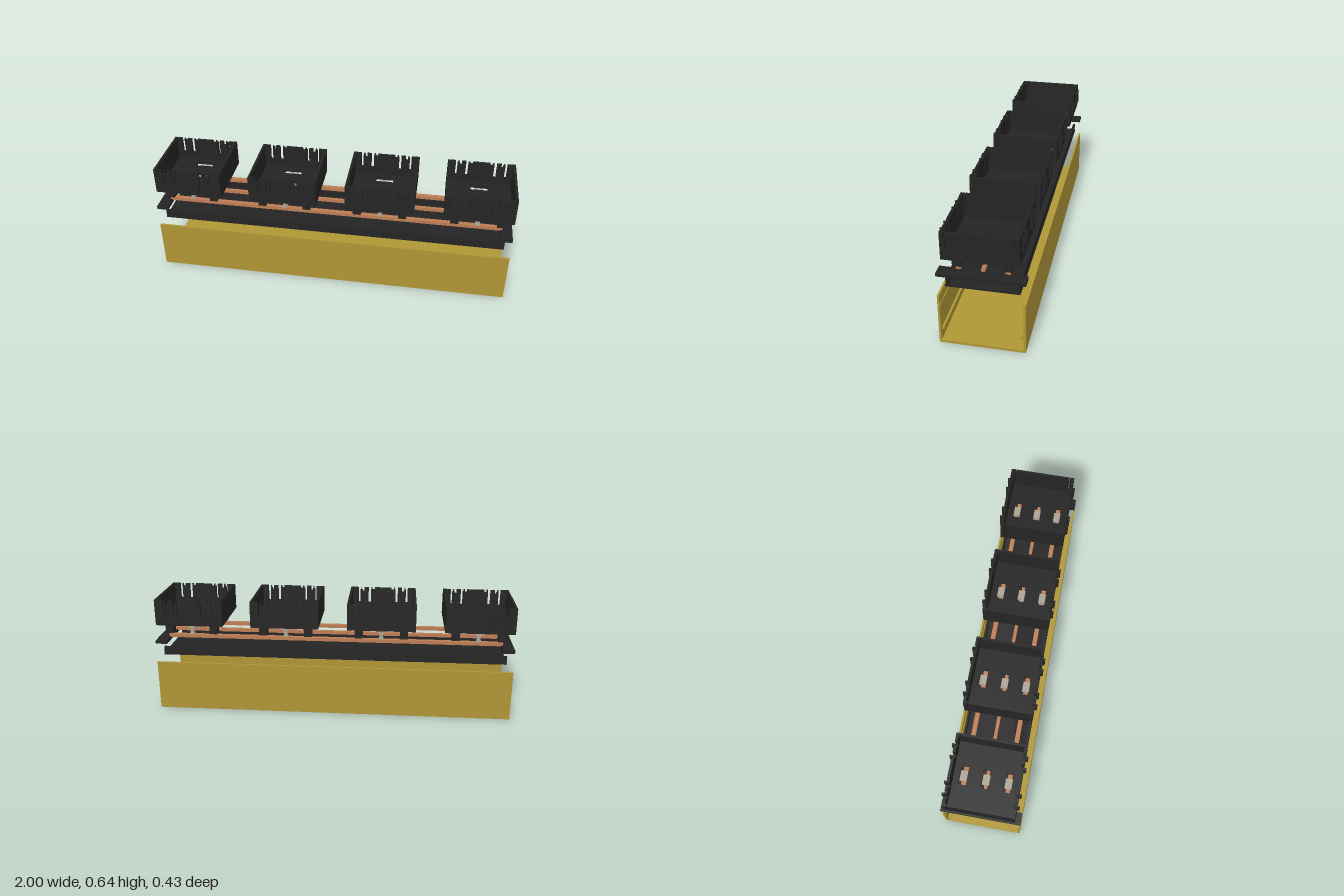
import * as THREE from 'three';

const mat = (name, color) => {
  const m = new THREE.MeshStandardMaterial({ color });
  m.name = name;
  return m;
};

export function createModel() {
  const brass = mat('brass', 0xb09636);
  const black = mat('black plastic', 0x242424);
  const copper = mat('copper', 0xbd7d54);
  const steel = mat('pale metal', 0xaca392);

  const model = new THREE.Group();
  model.name = 'explodedBusbarTrunking';

  // Box given by its extents on each axis
  const box = (parent, name, m, [x0, x1], [y0, y1], [z0, z1]) => {
    const mesh = new THREE.Mesh(new THREE.BoxGeometry(x1 - x0, y1 - y0, z1 - z0), m);
    mesh.position.set((x0 + x1) / 2, (y0 + y1) / 2, (z0 + z1) / 2);
    mesh.name = name;
    parent.add(mesh);
    return mesh;
  };
  const mid = (c, w) => [c - w / 2, c + w / 2];
  const side = (s, a, b) => (s > 0 ? [a, b] : [-b, -a]);
  const group = (name) => {
    const g = new THREE.Group();
    g.name = name;
    model.add(g);
    return g;
  };

  // Open U-shaped channel with guide ribs inside
  const channel = group('channel');
  box(channel, 'channelFloor', brass, [-1, 1], [0, 0.014], [-0.216, 0.216]);
  for (const s of [1, -1]) {
    box(channel, 'channelWall', brass, [-1, 1], [0.014, 0.281], side(s, 0.205, 0.216));
    box(channel, 'upperRib', brass, [-1, 1], [0.215, 0.227], side(s, 0.201, 0.205));
    box(channel, 'lowerRib', brass, [-1, 1], [0.083, 0.095], side(s, 0.188, 0.2));
  }

  // Shallow insulating tray
  const tray = group('tray');
  box(tray, 'trayFloor', black, [-0.965, 0.965], [0.316, 0.326], [-0.183, 0.183]);
  for (const s of [1, -1]) {
    box(tray, 'trayLip', black, [-0.965, 0.965], [0.326, 0.363], side(s, 0.168, 0.18));
  }

  // Three conductor bars and the plates that carry their ends
  const bars = group('conductors');
  for (const z of [-0.12, 0, 0.12]) {
    box(bars, 'conductorBar', copper, [-0.945, 0.945], [0.405, 0.424], mid(z, z ? 0.025 : 0.018));
  }
  for (const s of [1, -1]) {
    box(bars, 'endPlate', black, side(s, 0.935, 1), [0.392, 0.41], [-0.216, 0.216]);
  }

  // Wall panel with slots [centre, width, bottom] cut from its top edge
  const wall = (width, slots, depth) => {
    const h = 0.148;
    const s = new THREE.Shape();
    s.moveTo(-width / 2, 0);
    s.lineTo(width / 2, 0);
    s.lineTo(width / 2, h);
    for (const [c, w, b] of [...slots].sort((p, q) => q[0] - p[0])) {
      s.lineTo(c + w / 2, h);
      s.lineTo(c + w / 2, b);
      s.lineTo(c - w / 2, b);
      s.lineTo(c - w / 2, h);
    }
    s.lineTo(-width / 2, h);
    s.closePath();
    return new THREE.ExtrudeGeometry(s, { depth, bevelEnabled: false }).translate(0, 0, -depth / 2);
  };
  const mirrored = (list) => list.flatMap(([c, w, b]) => [[c, w, b], [-c, w, b]]);
  const longWall = wall(0.38, mirrored([[0.137, 0.014, 0.06], [0.118, 0.014, 0.125],
    [0.078, 0.016, 0.06], [0.056, 0.014, 0.135]]), 0.014);
  const endWall = wall(0.346, mirrored([[0.1615, 0.003, 0.034]]), 0.014);

  // Module floor with one window above each conductor
  const floorShape = new THREE.Shape([[-0.18, -0.18], [0.18, -0.18], [0.18, 0.18], [-0.18, 0.18]]
    .map(([x, y]) => new THREE.Vector2(x, y)));
  for (const z of [-0.12, 0, 0.12]) {
    floorShape.holes.push(new THREE.Path([[-0.05, -0.021], [-0.05, 0.021], [0.05, 0.021], [0.05, -0.021]]
      .map(([x, y]) => new THREE.Vector2(x, y + z))));
  }
  const floorGeometry = new THREE.ExtrudeGeometry(floorShape, { depth: 0.016, bevelEnabled: false })
    .rotateX(-Math.PI / 2);

  // Four open plug-in modules
  for (const x of [-0.81, -0.27, 0.27, 0.81]) {
    const module = group('module');
    module.position.x = x;
    const add = (name, geo, px, py, pz, ry = 0) => {
      const mesh = new THREE.Mesh(geo, black);
      mesh.name = name;
      mesh.position.set(px, py, pz);
      mesh.rotation.y = ry;
      module.add(mesh);
    };
    add('moduleFloor', floorGeometry, 0, 0.492, 0);
    for (const s of [1, -1]) {
      add('moduleLongWall', longWall, 0, 0.492, s * 0.18);
      add('moduleEndWall', endWall, s * 0.183, 0.492, 0, Math.PI / 2);
      // Snap ribs and feet
      for (const c of [-0.128, -0.067, 0.067, 0.128]) {
        box(module, 'snapRib', black, mid(c, 0.012), [0.54, 0.624], side(s, 0.186, 0.2));
      }
      for (const c of [-0.127, 0.127]) {
        box(module, 'foot', black, mid(c, 0.044), [0.433, 0.493], mid(s * 0.121, 0.049));
      }
    }
    // Spring contacts touching each conductor
    for (const z of [-0.12, 0, 0.12]) {
      box(module, 'contactHead', steel, mid(0, 0.054), [0.472, 0.494], mid(z, 0.037));
      box(module, 'contactCollar', steel, mid(0, 0.036), [0.462, 0.472], mid(z, 0.03));
      box(module, 'contactStem', steel, mid(0, 0.02), [0.433, 0.462], mid(z, 0.019));
      box(module, 'contactShoe', steel, mid(0, 0.026), [0.424, 0.433], mid(z, 0.026));
    }
  }
  return model;
}
